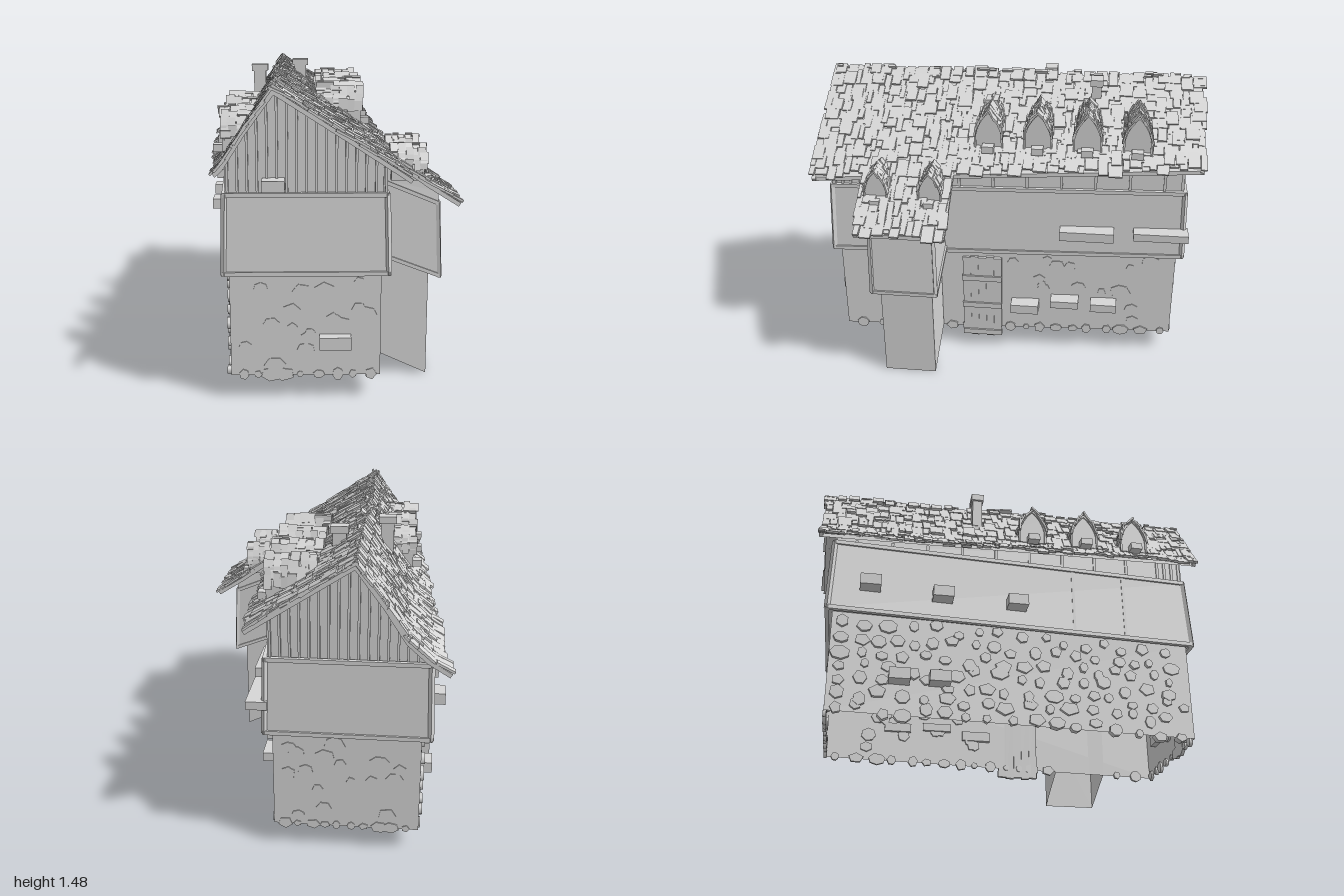
import * as THREE from 'three';
import { mergeGeometries } from 'three/addons/utils/BufferGeometryUtils.js';

const V = (x, y, z) => new THREE.Vector3(x, y, z);
const lerp = THREE.MathUtils.lerp;

// Roof height across x: flared left slope, nearly straight right slope
const PROFILE = [[-0.68, 0.955], [-0.57, 1.01], [-0.45, 1.12], [-0.35, 1.275], [-0.22, 1.452],
  [0.3, 1.118], [0.5, 0.98], [0.7, 0.855]];
function roofY(x) {
  let i = 1;
  while (i < PROFILE.length - 1 && x > PROFILE[i][0]) i++;
  const [a, b] = [PROFILE[i - 1], PROFILE[i]];
  return lerp(a[1], b[1], (x - a[0]) / (b[0] - a[0]));
}
const roofAngle = x => Math.atan((roofY(x + 0.015) - roofY(x - 0.015)) / 0.03);
// The plan is skewed: side lines shift in x from back (z = -1) to front (z = 1)
const skew = (back, front) => z => lerp(back, front, (z + 1) / 2);
const eaveL = skew(-0.638, -0.475), eaveR = skew(0.258, 0.378);
const lowL = skew(-0.535, -0.425), lowR = skew(0.155, 0.265);
const upL = skew(-0.568, -0.443), upR = skew(0.185, 0.29);

export function createModel() {
  const house = new THREE.Group();
  house.name = 'house';
  const grey = new THREE.MeshStandardMaterial({ color: 0xd6d6d6, side: THREE.DoubleSide });
  grey.name = 'plain grey';
  let seed = 7;
  const rnd = (a = 0, b = 1) => {
    seed = (seed * 16807) % 2147483647;
    return a + (b - a) * (seed / 2147483647);
  };
  const add = (name, geo, parent = house) => {
    const m = new THREE.Mesh(Array.isArray(geo) ? mergeGeometries(geo) : geo, grey);
    m.name = name;
    parent.add(m);
    return m;
  };
  const box = (w, h, d, x, y, z) => new THREE.BoxGeometry(w, h, d).translate(x, y, z);
  // Square timber between two points
  const beam = (a, b, t = 0.02) => {
    const o = new THREE.Object3D();
    o.position.copy(a).lerp(b, 0.5);
    o.lookAt(b);
    o.updateMatrix();
    return new THREE.BoxGeometry(t, t, a.distanceTo(b) + t * 0.5).applyMatrix4(o.matrix);
  };
  // Faceted skin between two rings, with optional end faces
  const loft = (A, B, caps = false) => {
    const p = [], n = A.length, tri = (...v) => v.forEach(q => p.push(q.x, q.y, q.z));
    for (let i = 0; i < n; i++) {
      const j = (i + 1) % n;
      tri(A[i], A[j], B[j]);
      tri(A[i], B[j], B[i]);
    }
    for (let i = 1; caps && i < n - 1; i++) {
      tri(A[0], A[i + 1], A[i]);
      tri(B[0], B[i], B[i + 1]);
    }
    const g = new THREE.BufferGeometry();
    g.setAttribute('position', new THREE.Float32BufferAttribute(p, 3));
    g.computeVertexNormals();
    return g;
  };
  const plan = (L, R, zf, zb, y, out = 0) => [V(L(zf) - out, y, zf), V(R(zf) + out, y, zf),
    V(R(zb) + out, y, zb), V(L(zb) - out, y, zb)];

  // Stone ground floor, open below, and overhanging timber storey
  const G1 = plan(lowL, lowR, 0.9, -0.89, 0.62);
  const U0 = plan(upL, upR, 0.925, -0.915, 0.62, 0.005), U1 = plan(upL, upR, 0.91, -0.905, 0.98, -0.005);
  add('groundFloor', loft(plan(lowL, lowR, 0.9, -0.89, 0.12), G1));
  add('overhang', loft(G1, U0));
  add('upperFloor', loft(U0, U1));
  const frame = [];
  U0.forEach((p, i) => {
    const j = (i + 1) % 4;
    frame.push(beam(p, U0[j], 0.02), beam(U1[i], U1[j], 0.02), beam(p, U1[i], 0.02));
  });
  for (const z of [0.3, 0.57]) frame.push(beam(V(upL(z) - 0.001, 0.62, z), V(upL(z) + 0.008, 0.98, z), 0.014));

  // Attic with gable ends, battens and studs
  const gable = z => {
    const l = upL(z) + 0.015, r = upR(z) - 0.015, m = lerp(l, -0.22, 0.5);
    return [V(l, 0.98, z), V(r, 0.98, z), V(r, roofY(r) - 0.02, z), V(-0.22, 1.432, z),
      V(m, roofY(m) - 0.02, z), V(l, roofY(l) - 0.02, z)];
  };
  add('attic', loft(gable(0.895), gable(-0.885), true));
  for (const z of [0.9, -0.89]) {
    for (let x = upL(z) + 0.02; x < upR(z); x += 0.044) {
      const h = roofY(x) - 0.02 - 0.98;
      if (h > 0.02) frame.push(box(0.011, h, 0.018, x, 0.98 + h / 2, z));
    }
  }
  for (let z = -0.8; z < 0.9; z += z > 0.6 ? 0.04 : 0.175) {
    frame.push(beam(V(upR(z) - 0.015, 0.98, z), V(upR(z) - 0.015, roofY(upR(z)) - 0.03, z), 0.014));
    frame.push(beam(V(upL(z) + 0.015, 0.98, z), V(upL(z) + 0.015, roofY(upL(z)) - 0.02, z), 0.014));
  }

  // Side bay, sloping down away from the house
  const slab4 = (x0, x1, y0, y1, zf, zb) => [V(x0, y0, zf), V(x1, y1, zf), V(x1, y1, zb), V(x0, y0, zb)];
  add('bayGroundFloor', loft(slab4(0.24, 0.51, 0.13, 0.005, 0.63, 0.36), slab4(0.24, 0.51, 0.64, 0.545, 0.63, 0.36)));
  const B0 = slab4(0.25, 0.56, 0.64, 0.522, 0.66, 0.33), B1 = slab4(0.25, 0.545, 1.0, 0.88, 0.655, 0.335);
  add('bayUpperFloor', loft(B0, B1, true));
  add('bayAttic', loft(B1, slab4(0.25, 0.545, 1.13, 0.935, 0.65, 0.34)));
  for (let i = 0; i < 3; i++) {
    frame.push(beam(B0[i], B0[i + 1], 0.018), beam(B1[i], B1[i + 1], 0.018));
    if (i) frame.push(beam(B0[i], B1[i], 0.018));
  }
  add('timberFrame', frame);

  // Roof deck with boards along the verges
  const deck = (xs, z) => [...xs.map(x => V(x, roofY(x), z)), ...xs.reverse().map(x => V(x, roofY(x) - 0.02, z))];
  const across = z => [eaveL(z), lerp(eaveL(z), -0.45, 0.5), -0.45, -0.35, -0.22, 0.1, eaveR(z)];
  add('roofDeck', loft(deck(across(0.97), 0.97), deck(across(-0.97), -0.97)));
  const bayXs = () => [0.22, 0.3, 0.5, 0.635];
  add('bayRoofDeck', loft(deck(bayXs(), 0.7), deck(bayXs(), 0.27)));
  const verge = [];
  for (const [xs, z] of [[across(0.97), 0.97], [across(-0.97), -0.97], [bayXs(), 0.7], [bayXs(), 0.27]]) {
    for (let i = 1; i < xs.length; i++) {
      verge.push(beam(V(xs[i - 1], roofY(xs[i - 1]) - 0.01, z), V(xs[i], roofY(xs[i]) - 0.01, z), 0.02));
    }
  }
  add('vergeBoards', verge);

  // Ragged shingles in overlapping rows
  const tiles = [];
  const tile = (x, z, len, w) => tiles.push(new THREE.BoxGeometry(len, 0.011, w)
    .rotateY(rnd(-0.05, 0.05))
    .rotateZ(roofAngle(x) + (x < -0.22 ? -0.09 : 0.09) * rnd(-0.6, 1.2))
    .translate(x, roofY(x) + rnd(0.003, 0.016), z));
  const tileRow = (xAt, z0, z1) => {
    let z = z0 + rnd(0, 0.025);
    while (z < z1 - 0.02) {
      const w = Math.min(rnd(0.025, 0.075), z1 - z);
      tile(xAt(z + w / 2) + rnd(-0.018, 0.018), z + w / 2, rnd(0.07, 0.1), w - 0.003);
      z += w;
    }
  };
  for (let i = 0; i < 12; i++) tileRow(z => lerp(-0.19, eaveR(z) - 0.03, i / 11), -1, 0.998);
  for (let i = 0; i < 10; i++) tileRow(z => lerp(-0.245, eaveL(z) + 0.025, i / 9), -1, 0.998);
  for (let i = 0; i < 7; i++) tileRow(() => 0.33 + i * 0.047, 0.25, 0.725);
  for (let z = -0.965; z < 0.97; z += 0.064) {
    for (const s of [-1, 1]) {
      tiles.push(new THREE.BoxGeometry(0.06, 0.011, rnd(0.04, 0.064)).rotateZ(s < 0 ? 0.9 : -0.6)
        .translate(-0.22 + s * 0.02, 1.448 + rnd(-0.012, 0.014), z));
    }
  }
  add('roofShingles', tiles);

  // Dormers: pointed arch, trim, shingled sides and a small sill
  const arch = new THREE.QuadraticBezierCurve(new THREE.Vector2(0.068, 0.07), new THREE.Vector2(0.052, 0.145), new THREE.Vector2(0, 0.19));
  const half = [new THREE.Vector2(0.068, 0), ...arch.getPoints(6)];
  const outline = [...half, ...half.slice(0, -1).reverse().map(p => new THREE.Vector2(-p.x, p.y))];
  const dormer = (side, x, y, z, depth, size = 1) => {
    const g = new THREE.Group();
    g.name = 'dormer';
    add('dormerBody', new THREE.ExtrudeGeometry(new THREE.Shape(outline), { depth, bevelEnabled: false }).translate(0, 0, -depth), g);
    const trim = [], cover = [];
    for (let i = 1; i < outline.length; i++) {
      const [a, b] = [outline[i - 1], outline[i]];
      trim.push(beam(V(a.x, a.y, 0.003), V(b.x, b.y, 0.003), 0.01));
    }
    trim.push(box(0.06, 0.035, 0.05, 0, 0.005, 0.03));
    for (const s of [-1, 1]) {
      for (let r = 0; r < 4; r++) {
        const t = 0.12 + r * 0.25, p = arch.getPoint(t), d = arch.getTangent(t);
        for (let q = 0.012; q > -depth; q -= 0.04) {
          cover.push(new THREE.BoxGeometry(rnd(0.05, 0.07), 0.009, rnd(0.034, 0.05))
            .rotateZ(s * (Math.atan2(d.y, d.x) + rnd(-0.3, 0.1)))
            .translate(s * (p.x + 0.004), p.y + rnd(-0.004, 0.009), q - rnd(0.005, 0.02)));
        }
      }
    }
    add('dormerTrim', trim, g);
    add('dormerShingles', cover, g);
    g.position.set(x, y, z);
    g.rotation.y = side * Math.PI / 2;
    g.scale.setScalar(size);
    house.add(g);
  };
  for (const z of [0.1, -0.15, -0.4, -0.65]) dormer(1, 0.195, 1.195, z, 0.19);
  for (const z of [0.36, 0.63]) dormer(1, 0.465, 0.995, z, 0.18, 0.82);
  for (const z of [0.1, 0.38, 0.65]) dormer(-1, -0.455, 1.145, z, 0.13);

  // Chimneys with a wider cap
  for (const [x, z, top] of [[-0.11, -0.43, 1.48], [-0.33, -0.18, 1.47], [0.02, 0.1, 1.4]]) {
    add('chimney', [box(0.065, 0.2, 0.05, x, top - 0.12, z), box(0.088, 0.035, 0.065, x, top - 0.018, z)]);
  }

  // Window boxes: [centre z, y, length, height]
  const sills = [];
  for (const [z, y, l, h] of [[-0.415, 0.755, 0.28, 0.05], [-0.795, 0.76, 0.28, 0.04]]) sills.push(box(0.1, h, l, upR(z) + 0.03, y, z));
  for (const [z, y, l, h] of [[-0.095, 0.285, 0.15, 0.05], [-0.31, 0.32, 0.15, 0.04], [-0.52, 0.305, 0.14, 0.045]]) sills.push(box(0.1, h, l, lowR(z) + 0.03, y, z));
  for (const [z, y] of [[-0.72, 0.755], [-0.37, 0.735], [0, 0.735]]) sills.push(box(0.1, 0.055, 0.1, upL(z) - 0.03, y, z));
  for (const [z, y] of [[-0.56, 0.3], [-0.37, 0.305]]) sills.push(box(0.1, 0.055, 0.1, lowL(z) - 0.03, y, z));
  sills.push(box(0.145, 0.06, 0.08, 0.05, 0.29, 0.91), box(0.1, 0.05, 0.1, -0.225, 1.03, 0.925));
  add('windowBoxes', sills);

  // Plank door with ledges
  const door = [];
  for (let i = 0; i < 5; i++) door.push(box(0.02, 0.49 + (i % 2) * 0.012, 0.0415, lowR(0.14) + 0.006, 0.32, 0.055 + i * 0.042));
  for (const y of [0.44, 0.27, 0.095]) door.push(box(0.022, 0.03, 0.215, lowR(0.14) + 0.015, y, 0.14));
  add('door', door);

  // Rough flat stones set into the walls and hanging along the footing
  const stones = [];
  const stone = (x, y, z, alongX, size, deep) => {
    const g = new THREE.CylinderGeometry(0.82, 0.82, 2, 5 + Math.floor(rnd(0, 3)), 1, false, rnd(0, 6)).rotateZ(Math.PI / 2);
    g.scale(deep, size, size * rnd(0.8, 1.5));
    stones.push((alongX ? g.rotateY(Math.PI / 2) : g.rotateY(0.055)).translate(x, y, z));
  };
  for (let r = 0; r < 7; r++) {
    for (let z = -0.84; z < 0.86; z += rnd(0.075, 0.13)) {
      stone(lowL(z), 0.135 + r * 0.072 + rnd(-0.025, 0.025), z, false, rnd(0.025, 0.042), rnd(0.01, 0.02));
    }
  }
  for (let z = -0.84; z < 0.86; z += rnd(0.07, 0.12)) if (z < 0.32 || z > 0.67) stone(lowR(z), 0.125, z, false, rnd(0.018, 0.04), 0.008);
  for (const z of [0.897, -0.887]) {
    for (let x = lowL(z) + 0.06; x < lowR(z) - 0.04; x += rnd(0.05, 0.09)) stone(x, 0.125, z, true, rnd(0.018, 0.045), 0.008);
    for (let i = 0; i < 18; i++) stone(rnd(lowL(z) + 0.06, lowR(z) - 0.06), rnd(0.17, 0.57), z, true, rnd(0.03, 0.045), 0.008);
  }
  for (let i = 0; i < 22; i++) {
    const z = rnd(-0.83, -0.02);
    stone(lowR(z) - 0.003, rnd(0.17, 0.57), z, false, rnd(0.03, 0.045), 0.008);
  }
  add('wallStones', stones);
  return house;
}
